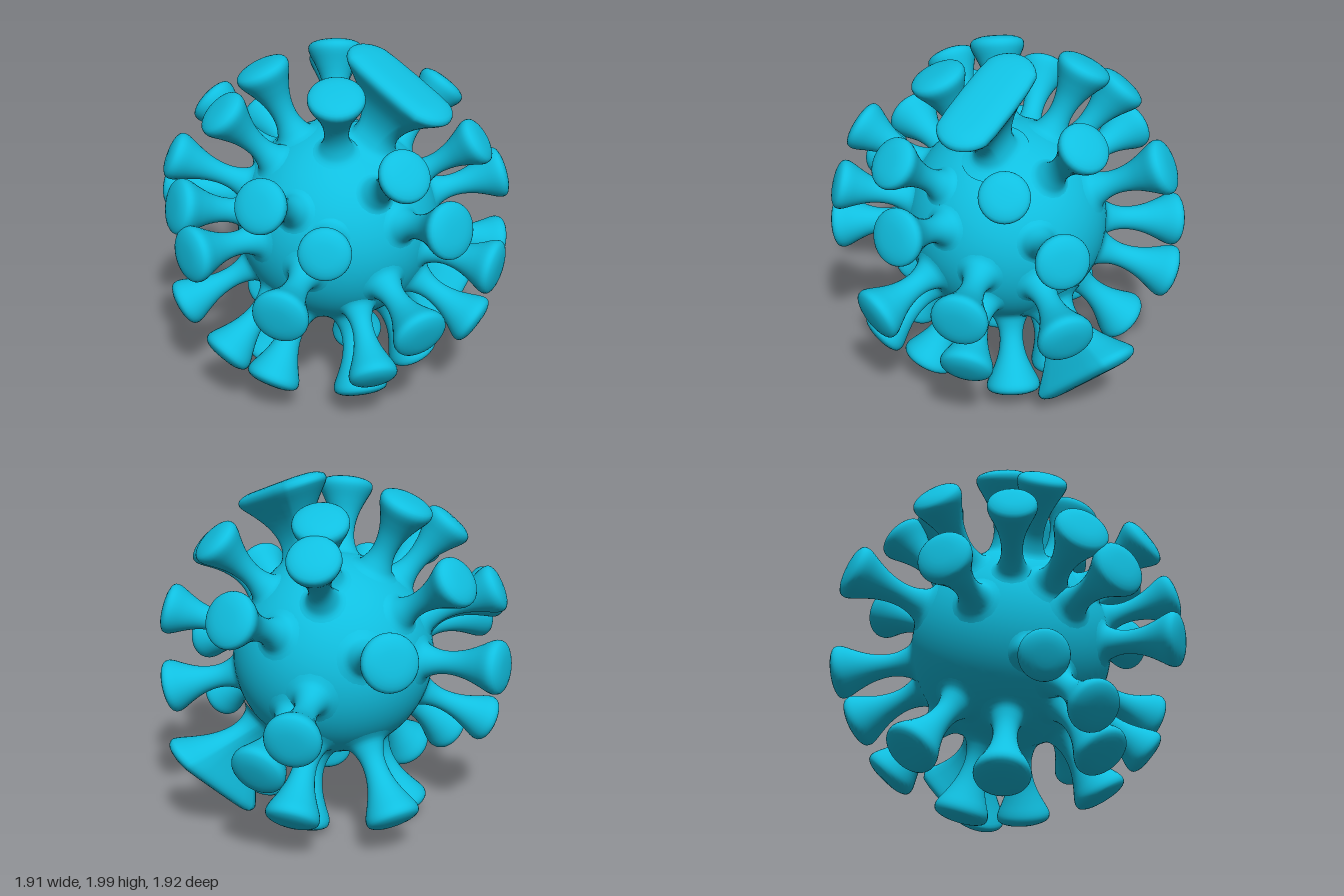
import * as THREE from 'three';
import { mergeVertices } from 'three/addons/utils/BufferGeometryUtils.js';

const CENTER = new THREE.Vector3(0.02, 0.99, -0.04);
const CORE_RADIUS = 0.558;

// Spike outline: [radius, height], height running from 0 at the core to 1 at the tip
const OUTLINE = [
  [0.155, 0.055], [0.105, 0.105], [0.08, 0.19], [0.066, 0.3], [0.067, 0.43], [0.084, 0.58],
  [0.116, 0.73], [0.141, 0.83], [0.149, 0.895], [0.137, 0.95], [0.085, 0.99], [0, 1],
];
const BASE = 0.505;

// Positions of the spike caps, with an optional thickness factor
const CAPS = [
  // front
  [-0.285, 1.26, 0.82], [-0.106, 1.077, 0.9], [0.444, 0.89, 0.81], [-0.1, 0.38, 0.71, 0.95],
  [-0.44, 0.56, 0.7, 0.88], [0.26, 1.43, 0.75, 0.95], [0.59, 1.245, 0.63, 0.9],
  [-0.275, 1.71, 0.53, 0.92], [-0.58, 1.4, 0.62, 0.88], [0.1, 0.25, 0.54],
  // left side
  [0.74, 1.58, 0.2, 0.93], [0.9, 1.265, 0.04], [0.92, 0.9, -0.34], [0.88, 0.715, 0.22],
  [0.69, 0.41, 0.36, 0.88], [0.82, 0.535, -0.31, 0.95], [0.68, 1.55, -0.46, 0.87],
  // right side
  [-0.85, 1.07, 0.41, 0.97], [-0.88, 1.27, -0.33], [-0.75, 1.56, 0.2, 0.92], [-0.62, 0.25, -0.1],
  // top
  [0.265, 1.84, 0.22], [-0.285, 1.85, 0.22], [-0.285, 1.83, -0.33], [-0.44, 1.71, -0.48, 0.95],
  [0.24, 1.68, -0.65, 0.92],
  // bottom
  [0.45, 0.17, 0.21], [0.37, 0.15, -0.32], [-0.09, 0.06, -0.33], [-0.28, 0.12, 0.22],
  [-0.38, 0.29, -0.59],
  // back
  [0.6, 1.23, -0.76, 0.95], [0.57, 0.77, -0.76], [-0.25, 1.42, -0.86], [-0.62, 0.88, -0.73],
  [-0.42, 0.67, -0.8],
];

// Two wide spikes: cap position, direction of the long side, distance of the tip
const WIDE_CAPS = [
  { at: [0.37, 1.87, -0.15], along: [0.93, -0.36, 0], reach: 0.98 },
  { at: [0.245, 0.33, -0.7], along: [0, 0.71, -0.71], reach: 1.02 },
];

// Turned spike; spread pulls its two halves apart towards the cap
function spikeGeometry(reach, girth, spread) {
  const curve = new THREE.CatmullRomCurve3(OUTLINE.map(([r, h]) => new THREE.Vector3(r, h, 0)));
  const profile = curve.getPoints(30).map(
    (p) => new THREE.Vector2(Math.max(p.x, 0) * girth, BASE + p.y * (reach - BASE)));
  profile[profile.length - 1].x = 0;
  const lathe = new THREE.LatheGeometry(profile, 32);
  const pos = lathe.attributes.position;
  const uv = lathe.attributes.uv;
  for (let i = 0; i < pos.count; i++) {
    const side = THREE.MathUtils.clamp(Math.sin(uv.getX(i) * Math.PI * 2) * 3.5, -1, 1);
    const grow = THREE.MathUtils.clamp((pos.getY(i) - 0.56) / (reach - 0.62), 0, 1);
    pos.setX(i, pos.getX(i) + side * spread * (0.2 + 0.8 * Math.pow(grow, 1.5)));
  }
  lathe.deleteAttribute('uv');
  lathe.deleteAttribute('normal');
  const geometry = mergeVertices(lathe, 1e-5);
  geometry.computeVertexNormals();
  return geometry;
}

export function createModel() {
  const group = new THREE.Group();
  group.name = 'spikedSphere';
  const cyan = new THREE.MeshStandardMaterial({ color: 0x10bfe0 });
  cyan.name = 'cyan';

  // Round core
  const core = new THREE.Mesh(new THREE.SphereGeometry(CORE_RADIUS, 64, 48), cyan);
  core.name = 'core';
  core.position.copy(CENTER);
  group.add(core);

  // Round spikes, a little longer towards the right and the bottom
  const up = new THREE.Vector3(0, 1, 0);
  CAPS.forEach(([x, y, z, girth = 1], i) => {
    const direction = new THREE.Vector3(x, y, z).sub(CENTER).normalize();
    const reach = 0.998 - 0.03 * direction.x - 0.012 * direction.y;
    const spike = new THREE.Mesh(spikeGeometry(reach, girth, 0), cyan);
    spike.name = `spike${i + 1}`;
    spike.position.copy(CENTER);
    spike.quaternion.setFromUnitVectors(up, direction);
    group.add(spike);
  });

  // Wide fan-shaped spikes
  WIDE_CAPS.forEach(({ at, along, reach }, i) => {
    const spike = new THREE.Mesh(spikeGeometry(reach, 1.03, 0.19), cyan);
    spike.name = `wideSpike${i + 1}`;
    spike.position.copy(CENTER);
    const y = new THREE.Vector3(...at).sub(CENTER).normalize();
    const z = new THREE.Vector3(...along).cross(y).normalize();
    const x = new THREE.Vector3().crossVectors(y, z);
    spike.quaternion.setFromRotationMatrix(new THREE.Matrix4().makeBasis(x, y, z));
    group.add(spike);
  });

  return group;
}
